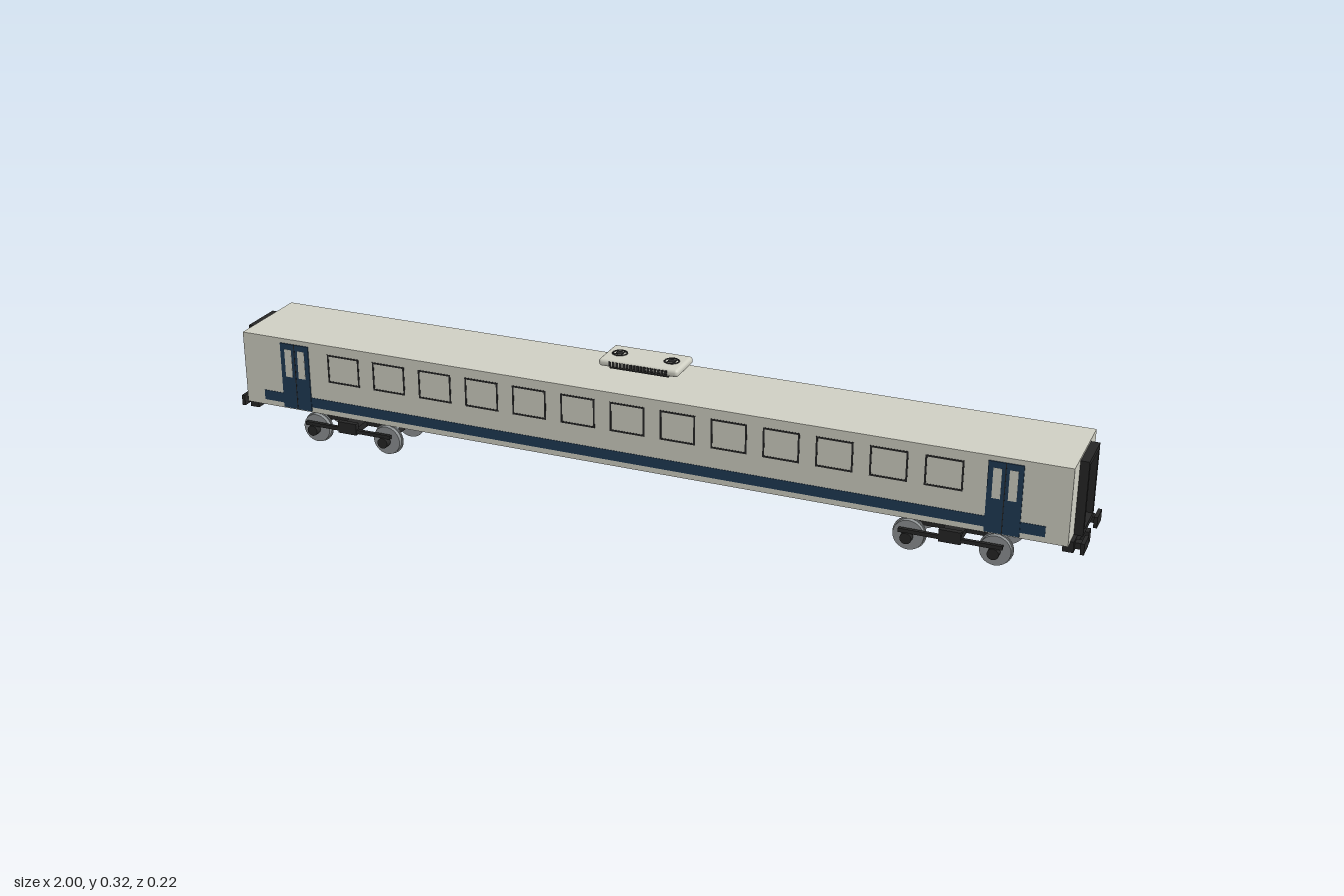
import * as THREE from 'three';
import { RoundedBoxGeometry } from 'three/addons/geometries/RoundedBoxGeometry.js';

const mat = (name, color) => {
  const m = new THREE.MeshStandardMaterial({ color });
  m.name = name;
  return m;
};

export function createModel() {
  const cream = mat('cream paint', 0xcfcfc3);
  const blue = mat('dark blue paint', 0x1f3a54);
  const black = mat('black', 0x262626);
  const steel = mat('wheel steel', 0x8e9294);

  const car = new THREE.Group();
  car.name = 'railwayCarriage';

  const add = (parent, name, geo, material, x = 0, y = 0, z = 0) => {
    const mesh = new THREE.Mesh(geo, material);
    mesh.name = name;
    mesh.position.set(x, y, z);
    parent.add(mesh);
    return mesh;
  };
  // box given by its limits
  const box = (parent, name, material, x0, x1, y0, y1, z0, z1) =>
    add(parent, name, new THREE.BoxGeometry(x1 - x0, y1 - y0, z1 - z0), material,
      (x0 + x1) / 2, (y0 + y1) / 2, (z0 + z1) / 2);
  const group = (parent, name) => {
    const g = new THREE.Group();
    g.name = name;
    parent.add(g);
    return g;
  };
  // rectangular ring with a thin border, facing +z
  const frameGeo = (w, h, t, depth) => {
    const s = new THREE.Shape();
    s.moveTo(-w / 2, -h / 2).lineTo(w / 2, -h / 2).lineTo(w / 2, h / 2).lineTo(-w / 2, h / 2).closePath();
    const a = w / 2 - t, b = h / 2 - t, p = new THREE.Path();
    p.moveTo(-a, -b).lineTo(-a, b).lineTo(a, b).lineTo(a, -b).closePath();
    s.holes.push(p);
    return new THREE.ExtrudeGeometry(s, { depth, bevelEnabled: false });
  };
  // cylinder along z
  const disc = (r, w, sides = 24) => new THREE.CylinderGeometry(r, r, w, sides).rotateX(Math.PI / 2);

  // body shell
  box(car, 'body', cream, -0.97, 0.97, 0.097, 0.271, -0.106, 0.106);

  // both long sides: stripe, windows and doors
  const windowGeo = frameGeo(0.082, 0.069, 0.004, 0.001);
  for (const turn of [0, Math.PI]) {
    const side = group(car, turn ? 'backSide' : 'frontSide');
    side.rotation.y = turn;
    box(side, 'stripe', blue, -0.922, 0.922, 0.11, 0.134, 0.105, 0.107);
    for (let i = -6; i <= 6; i++)
      add(side, 'windowFrame', windowGeo, black, i * 0.1176, 0.2145, 0.1058);
    for (const x of [-0.833, 0.833]) {
      const door = group(side, 'door');
      door.position.x = x;
      box(door, 'doorPanel', blue, -0.037, 0.037, 0.1, 0.26, 0.105, 0.1085);
      for (const s of [-1, 1])
        box(door, 'doorWindow', cream, s * 0.017 - 0.009, s * 0.017 + 0.009, 0.178, 0.246, 0.107, 0.109);
      box(door, 'doorSeam', black, -0.001, 0.001, 0.1, 0.26, 0.107, 0.109);
    }
  }

  // both ends: gangway, buffers and coupler, built facing +x
  for (const turn of [0, Math.PI]) {
    const end = group(car, turn ? 'rightEnd' : 'leftEnd');
    end.rotation.y = turn;
    const gangway = add(end, 'gangwayFrame', frameGeo(0.104, 0.167, 0.011, 0.021), black, 0.968, 0.1825, 0);
    gangway.rotation.y = Math.PI / 2;
    box(end, 'gangwayDoor', cream, 0.968, 0.974, 0.1, 0.26, -0.041, 0.041);
    const pane = add(end, 'gangwayWindow', frameGeo(0.056, 0.065, 0.003, 0.001), black, 0.9735, 0.211, 0);
    pane.rotation.y = Math.PI / 2;
    box(end, 'bufferBeam', black, 0.955, 0.978, 0.075, 0.1, -0.086, 0.086);
    for (const z of [-0.066, 0.066]) {
      box(end, 'bufferStem', black, 0.975, 0.993, 0.08, 0.094, z - 0.009, z + 0.009);
      box(end, 'bufferPad', black, 0.992, 1, 0.075, 0.1, z - 0.022, z + 0.022);
    }
    box(end, 'coupler', black, 0.96, 0.994, 0.06, 0.09, -0.01, 0.01);
  }

  // two four-wheeled bogies
  for (const bx of [-0.72, 0.72]) {
    const bogie = group(car, 'bogie');
    bogie.position.x = bx;
    const pivot = new THREE.Shape();
    pivot.moveTo(-0.015, 0.058).lineTo(0.015, 0.058).lineTo(0.035, 0.098).lineTo(-0.035, 0.098).closePath();
    add(bogie, 'pivot', new THREE.ExtrudeGeometry(pivot, { depth: 0.022, bevelEnabled: false }), black, 0, 0, -0.011);
    box(bogie, 'bolster', black, -0.022, 0.022, 0.046, 0.061, -0.077, 0.077);
    for (const s of [-1, 1]) {
      box(bogie, 'sideFrame', black, -0.112, 0.112, 0.049, 0.058, s * 0.077 - 0.004, s * 0.077 + 0.004);
      box(bogie, 'spring', black, -0.024, 0.024, 0.045, 0.073, s * 0.077 - 0.006, s * 0.077 + 0.006);
      box(bogie, 'innerBeam', black, -0.094, 0.094, 0.049, 0.058, s * 0.025 - 0.005, s * 0.025 + 0.005);
    }
    for (const x of [-0.0935, 0.0935]) {
      add(bogie, 'axle', disc(0.006, 0.16, 12), black, x, 0.037, 0);
      for (const s of [-1, 1]) {
        add(bogie, 'wheel', disc(0.034, 0.012, 28), steel, x, 0.037, s * 0.058);
        add(bogie, 'wheelFlange', disc(0.037, 0.004, 28), steel, x, 0.037, s * 0.052);
        add(bogie, 'axleBox', disc(0.013, 0.016, 12), black, x, 0.038, s * 0.077);
      }
    }
  }

  // equipment box below the floor
  box(car, 'underfloorBox', black, -0.034, 0.034, 0.084, 0.098, -0.03, 0.03);

  // rooftop unit
  const unit = group(car, 'roofUnit');
  add(unit, 'roofUnitCase', new RoundedBoxGeometry(0.188, 0.018, 0.094, 3, 0.008), cream, 0, 0.311, 0);
  for (const s of [-1, 1]) {
    for (let i = -8; i <= 8; i++)
      box(unit, 'grilleSlat', black, i * 0.0082 - 0.003, i * 0.0082 + 0.003, 0.306, 0.316, s * 0.0465 - 0.001, s * 0.0465 + 0.001);
    box(unit, 'mountRail', black, -0.07, 0.07, 0.298, 0.304, s * 0.037 - 0.003, s * 0.037 + 0.003);
    const ring = add(unit, 'fanRing', new THREE.TorusGeometry(0.016, 0.002, 6, 24), black, s * 0.0615, 0.32, 0);
    ring.rotation.x = Math.PI / 2;
    add(unit, 'fanHub', new THREE.CylinderGeometry(0.009, 0.009, 0.004, 16), black, s * 0.0615, 0.3195, 0);
    for (let k = 0; k < 2; k++) {
      const blade = add(unit, 'fanBlade', new THREE.BoxGeometry(0.03, 0.002, 0.004), black, s * 0.0615, 0.3198, 0);
      blade.rotation.y = Math.PI / 4 + k * Math.PI / 2;
    }
  }
  return car;
}
